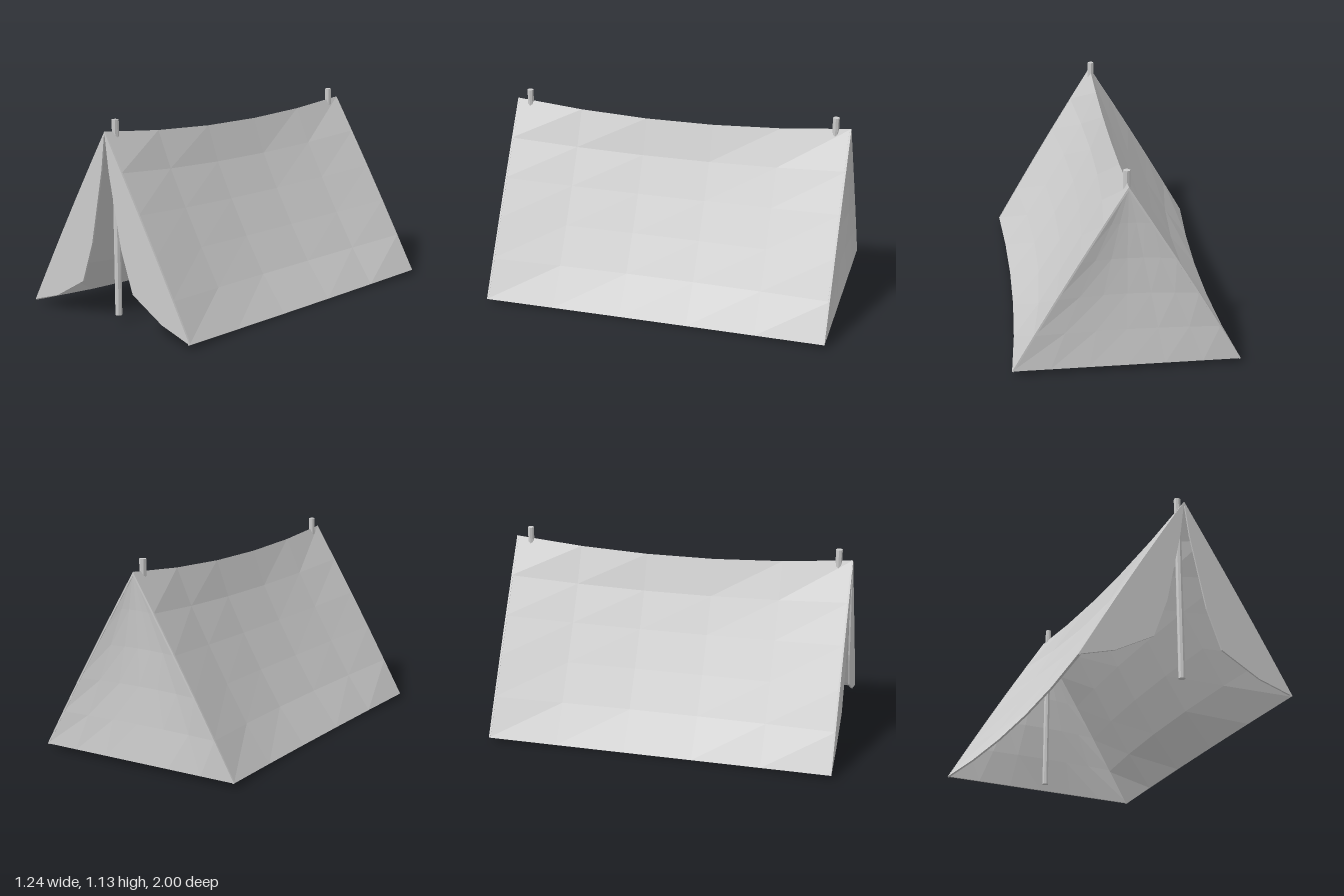
import * as THREE from 'three';

const cloth = new THREE.MeshStandardMaterial({ color: 0xcccccc, flatShading: true, side: THREE.DoubleSide });
const wood = new THREE.MeshStandardMaterial({ color: 0xcccccc, flatShading: true });
const THICK = 0.01;

// Half cross-section of the roof: t = 0 at the ridge, 1 at the hem
function roofPoint(t, z) {
  const zz = z * z;
  const ridge = 1.013 + 0.057 * zz;
  const hemX = 0.58 + 0.042 * zz;
  const hemY = 0.005 + 0.023 * zz;
  const belly = Math.sqrt(Math.max(0, Math.sin(Math.PI * t)));
  const sag = 0.055 * (1 - zz) * belly - 0.008 * zz * Math.sin(Math.PI * t);
  return [hemX * t - sag, ridge + (hemY - ridge) * t];
}

// Thin closed shell: point(u, v) gives the outside, inward(u, v) the direction of its thickness
function clothSheet(name, nu, nv, point, inward) {
  const pos = [], idx = [];
  const layer = (nu + 1) * (nv + 1);
  for (const depth of [0, THICK]) {
    for (let j = 0; j <= nv; j++) {
      for (let i = 0; i <= nu; i++) {
        const p = point(i / nu, j / nv), d = inward(i / nu, j / nv);
        pos.push(p[0] + d[0] * depth, p[1] + d[1] * depth, p[2] + d[2] * depth);
      }
    }
  }
  const at = (i, j) => j * (nu + 1) + i;
  for (let j = 0; j < nv; j++) {
    for (let i = 0; i < nu; i++) {
      const a = at(i, j), b = at(i + 1, j), c = at(i, j + 1), d = at(i + 1, j + 1);
      idx.push(a, c, b, b, c, d);
      idx.push(a + layer, b + layer, c + layer, b + layer, d + layer, c + layer);
    }
  }
  // Rim joining outside and inside
  const rim = (p, q) => idx.push(p, q, p + layer, q, q + layer, p + layer);
  for (let i = 0; i < nu; i++) {
    rim(at(i, 0), at(i + 1, 0));
    rim(at(i + 1, nv), at(i, nv));
  }
  for (let j = 0; j < nv; j++) {
    rim(at(0, j + 1), at(0, j));
    rim(at(nu, j), at(nu, j + 1));
  }
  const indexed = new THREE.BufferGeometry();
  indexed.setAttribute('position', new THREE.Float32BufferAttribute(pos, 3));
  indexed.setIndex(idx);
  const geo = indexed.toNonIndexed();
  geo.computeVertexNormals();
  const mesh = new THREE.Mesh(geo, cloth);
  mesh.name = name;
  return mesh;
}

export function createModel() {
  const tent = new THREE.Group();
  tent.name = 'tent';

  // Roof draped over the ridge from hem to hem
  tent.add(clothSheet('roof', 5, 10, (u, v) => {
    const z = 1 - 2 * u, s = 2 * v - 1;
    const [x, y] = roofPoint(Math.abs(s), z);
    return [Math.sign(s) * x, y, z];
  }, (u, v) => {
    const s = Math.abs(v - 0.5) < 1e-6 ? 0 : Math.sign(v - 0.5);
    return s === 0 ? [0, -1.9, 0] : [-s * 0.86, -0.5, 0];
  }));

  // Closed back wall, slightly dented inward
  tent.add(clothSheet('backWall', 6, 5, (u, v) => {
    const [x, y] = roofPoint(v, -1);
    const s = 1 - 2 * u;
    return [x * s, y, -1 + 0.035 * Math.sin(Math.PI * v) * (1 - s * s)];
  }, () => [0, 0, 1]));

  // Front flaps, cut back to a curved opening
  const opening = [[0, 1.07], [0.028, 0.86], [0.07, 0.66], [0.117, 0.44], [0.2, 0.213], [0.42, 0.09], [0.62, 0.028]];
  const outerT = [0, 0.2, 0.4, 0.6, 0.8, 0.93, 1];
  for (const side of [1, -1]) {
    tent.add(clothSheet(side > 0 ? 'leftFlap' : 'rightFlap', 2, 6, (u, v) => {
      const k = Math.round(v * 6);
      const [ix, iy] = opening[k];
      const [ox, oy] = roofPoint(outerT[k], 1);
      const w = side > 0 ? u : 1 - u;
      return [side * (ix + (ox - ix) * w), iy + (oy - iy) * w, 1];
    }, () => [0, 0, -1]));
  }

  // Upright poles
  for (const [name, z] of [['frontPole', 0.92], ['backPole', -0.912]]) {
    const pole = new THREE.Mesh(new THREE.CylinderGeometry(0.019, 0.019, 1.085, 8), wood);
    pole.name = name;
    pole.position.set(0, 0.5855, z);
    tent.add(pole);
  }
  return tent;
}
